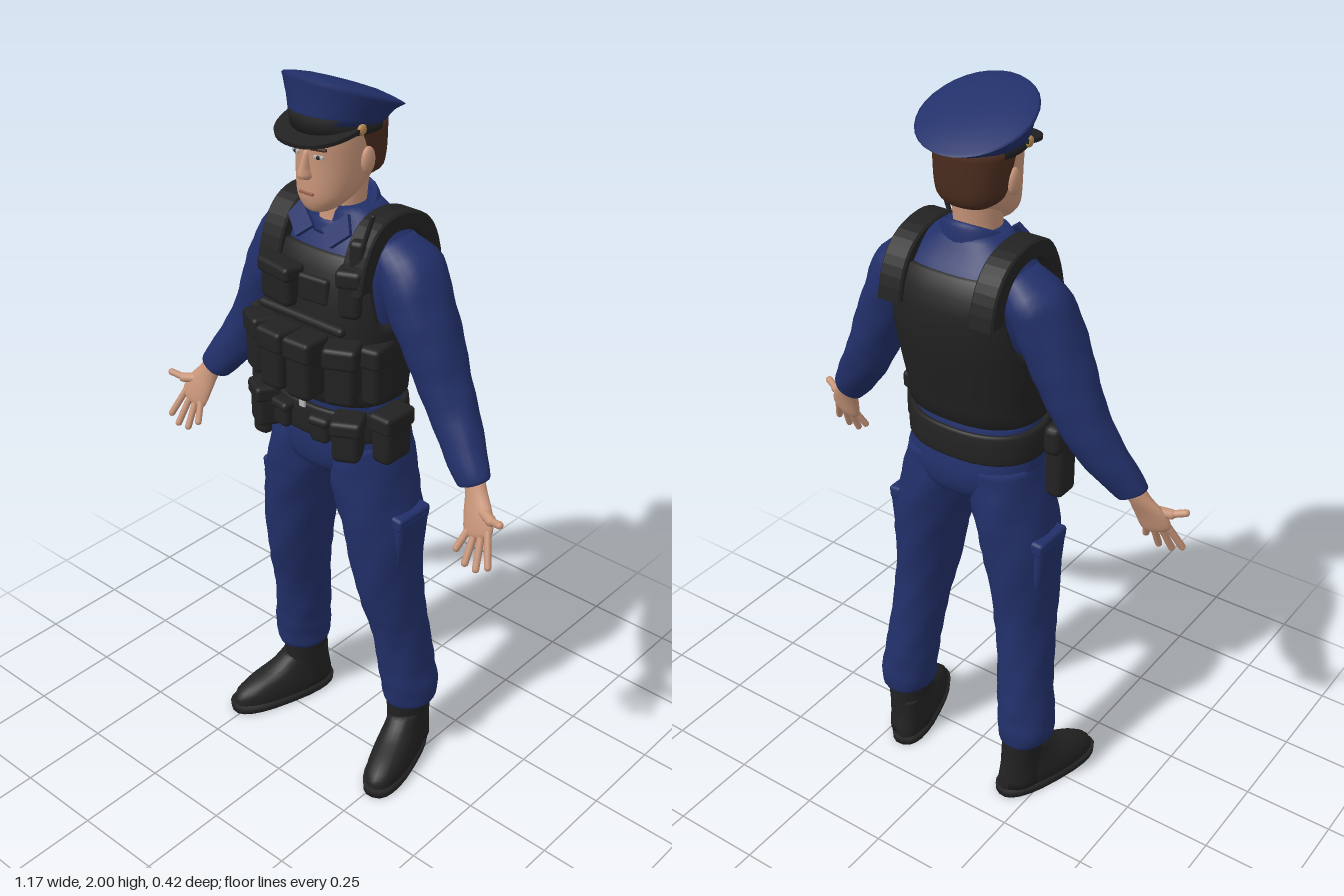
import * as THREE from 'three';
import { RoundedBoxGeometry } from 'three/addons/geometries/RoundedBoxGeometry.js';

const mat = (name, color, side = THREE.FrontSide) => new THREE.MeshStandardMaterial({ name, color, side });
const blue = mat('uniform blue', 0x22306a, THREE.DoubleSide);
const black = mat('gear black', 0x222222, THREE.DoubleSide);
const skin = mat('skin', 0xc9967a);
const hairBrown = mat('hair brown', 0x4a2c1e);
const brass = mat('brass', 0xb88a50);
const silver = mat('silver', 0xb4b4b4);
const lip = mat('lip', 0x9a5f4c);

// Smooth skin over bottom-to-top rings [x, y, z, rx, rz, slopeX, slopeZ]
function loft(rings, { n = 24, sub = 3, pow = 2, wrinkle = 0 } = {}) {
  const pos = [], idx = [], rows = [];
  const get = (i, k) => rings[Math.min(Math.max(i, 0), rings.length - 1)][k] ?? 0;
  for (let i = 0; i < rings.length - 1; i++) {
    for (let s = 0; s < sub; s++) {
      rows.push([0, 1, 2, 3, 4, 5, 6].map(k => {
        const [a, b, c, d] = [get(i - 1, k), get(i, k), get(i + 1, k), get(i + 2, k)], t = s / sub;
        return b + 0.5 * t * (c - a + t * (2 * a - 5 * b + 4 * c - d + t * (3 * (b - c) + d - a)));
      }));
    }
  }
  rows.push([0, 1, 2, 3, 4, 5, 6].map(k => get(rings.length - 1, k)));
  const round = v => Math.sign(v) * Math.abs(v) ** (2 / pow);
  for (const [x, y, z, rx, rz, sx, sz] of rows) {
    for (let j = 0; j < n; j++) {
      const a = j / n * Math.PI * 2;
      const w = 1 + wrinkle * Math.sin(2 * a + 55 * y) * Math.cos(3 * a - 23 * y);
      const dx = rx * w * round(Math.cos(a)), dz = rz * w * round(Math.sin(a));
      pos.push(x + dx, y + sx * dx + sz * dz, z + dz);
    }
  }
  for (let i = 0; i < rows.length - 1; i++) for (let j = 0; j < n; j++) {
    const a = i * n + j, b = i * n + (j + 1) % n;
    idx.push(a, a + n, b, b, a + n, b + n);
  }
  const c = rows.length * n, top = c - n;
  pos.push(...rows[0].slice(0, 3), ...rows[rows.length - 1].slice(0, 3));
  for (let j = 0; j < n; j++) {
    const k = (j + 1) % n;
    idx.push(c, j, k, c + 1, top + k, top + j);
  }
  return build(pos, idx);
}

function build(pos, idx) {
  const g = new THREE.BufferGeometry();
  g.setAttribute('position', new THREE.Float32BufferAttribute(pos, 3));
  g.setIndex(idx);
  g.computeVertexNormals();
  return g;
}

// Torso profile: [y, z, rx, rz]
const TORSO = [[1.1, -0.015, 0.165, 0.12], [1.2, -0.01, 0.17, 0.125], [1.3, -0.02, 0.18, 0.14], [1.4, -0.033, 0.187, 0.15],
  [1.5, -0.045, 0.19, 0.145], [1.57, -0.05, 0.19, 0.12], [1.62, -0.045, 0.15, 0.09], [1.67, -0.035, 0.085, 0.07]];
function torsoAt(y) {
  let i = 0;
  while (i < TORSO.length - 2 && y > TORSO[i + 1][0]) i++;
  const t = (y - TORSO[i][0]) / (TORSO[i + 1][0] - TORSO[i][0]);
  return [1, 2, 3].map(k => THREE.MathUtils.lerp(TORSO[i][k], TORSO[i + 1][k], t));
}

// Vest shell: follows the torso, with the top edge cut down for the arms
function vestShell() {
  const n = 60, m = 12, pos = [], idx = [];
  const round = v => Math.sign(v) * Math.abs(v) ** (2 / 2.4);
  for (let i = 0; i <= m; i++) for (let j = 0; j < n; j++) {
    const a = j / n * Math.PI * 2, c = Math.cos(a), s = Math.sin(a);
    const hole = THREE.MathUtils.smoothstep(Math.abs(c), 0.68, 0.93);
    const high = THREE.MathUtils.lerp(s > 0 ? 1.565 : 1.59, 1.4, hole);
    const t = THREE.MathUtils.clamp((i - 1) / (m - 2), 0, 1);
    const y = THREE.MathUtils.lerp(1.18, high, t);
    const [z, rx, rz] = torsoAt(y), o = i === 0 || i === m ? -0.003 : 0.016;
    pos.push((rx + o) * round(c), y, z + (rz + o) * round(s));
  }
  for (let i = 0; i < m; i++) for (let j = 0; j < n; j++) {
    const a = i * n + j, b = i * n + (j + 1) % n;
    idx.push(a, a + n, b, b, a + n, b + n);
  }
  return build(pos, idx);
}

export function createModel() {
  const model = new THREE.Group();
  model.name = 'officer';
  const add = (name, geo, m, parent = model) => {
    const mesh = new THREE.Mesh(geo, m);
    mesh.name = name;
    parent.add(mesh);
    return mesh;
  };
  const ball = (name, m, x, y, z, rx, ry, rz) => {
    const b = add(name, new THREE.SphereGeometry(1, 16, 12), m);
    b.position.set(x, y, z);
    b.scale.set(rx, ry, rz);
    return b;
  };
  const box = (name, m, x, y, z, w, h, d, ry = 0, r = 0.012) => {
    const b = add(name, new RoundedBoxGeometry(w, h, d, 2, Math.min(r, w / 2.1, d / 2.1, h / 2.1)), m);
    b.position.set(x, y, z);
    b.rotation.y = ry;
    return b;
  };
  const rod = (name, m, p, q, r) => {
    const a = new THREE.Vector3(...p), b = new THREE.Vector3(...q), d = b.clone().sub(a);
    const c = add(name, new THREE.CapsuleGeometry(r, d.length(), 4, 10), m);
    c.position.copy(a).add(b).multiplyScalar(0.5);
    c.quaternion.setFromUnitVectors(new THREE.Vector3(0, 1, 0), d.normalize());
  };
  const pouch = (name, x, y, z, w, h, d, ry = 0) => {
    box(name, black, x, y, z, w, h, d, ry, 0.018);
    box(name + 'Flap', black, x, y + h * 0.32, z, w + 0.008, h * 0.36, d + 0.01, ry);
  };

  // Shirt, trousers seat, vest and belt
  add('shirt', loft(TORSO.map(([y, z, rx, rz]) => [0, y, z, rx, rz]), { n: 36, pow: 2.4 }), blue);
  add('seat', loft([[0, 0.925, -0.025, 0.05, 0.07], [0, 0.96, -0.022, 0.14, 0.12], [0, 1.02, -0.022, 0.187, 0.137],
    [0, 1.1, -0.018, 0.178, 0.13], [0, 1.18, -0.012, 0.17, 0.122]], { n: 32, pow: 2.3 }), blue);
  add('vest', vestShell(), black);
  add('belt', loft([[0, 1.075, -0.012, 0.18, 0.133], [0, 1.08, -0.012, 0.193, 0.143], [0, 1.15, -0.012, 0.19, 0.14],
    [0, 1.155, -0.012, 0.175, 0.13]], { n: 36, pow: 2.3 }), black);
  box('buckle', silver, 0, 1.165, 0.131, 0.02, 0.035, 0.009, 0, 0.003);

  // Vest straps, arched over the shoulders
  const arch = new THREE.Shape();
  arch.moveTo(0.105, 1.5);
  arch.bezierCurveTo(0.08, 1.62, 0.04, 1.665, -0.04, 1.662);
  arch.bezierCurveTo(-0.14, 1.655, -0.185, 1.6, -0.2, 1.5);
  arch.lineTo(-0.16, 1.5);
  arch.bezierCurveTo(-0.15, 1.57, -0.12, 1.62, -0.04, 1.625);
  arch.bezierCurveTo(0.02, 1.625, 0.05, 1.58, 0.07, 1.5);
  for (const s of [-1, 1]) {
    const strap = new THREE.ExtrudeGeometry(arch, { depth: 0.06, bevelSize: 0.005, bevelThickness: 0.005, bevelSegments: 1, curveSegments: 10 });
    add('vestStrap', strap.rotateY(-Math.PI / 2).translate(0.03 + s * 0.135, 0, 0), black);
  }

  // Pouches on vest and belt
  for (const s of [-1, 1]) {
    pouch('magazinePouch', s * 0.044, 1.295, 0.165, 0.076, 0.165, 0.08, s * 0.05);
    pouch('sidePouch', s * 0.132, 1.292, 0.125, 0.08, 0.16, 0.085, s * 0.45);
    pouch('flankPouch', s * 0.178, 1.28, 0.05, 0.05, 0.16, 0.09, s * 0.2);
    pouch('beltPouch', s * 0.14, 1.105, 0.115, 0.075, 0.12, 0.075, s * 0.5);
    pouch('smallBeltPouch', s * 0.065, 1.11, 0.135, 0.055, 0.075, 0.03, s * 0.15);
  }
  pouch('chestPouch', -0.073, 1.475, 0.125, 0.11, 0.11, 0.055, -0.15);
  box('chestPanel', black, 0.03, 1.48, 0.117, 0.09, 0.07, 0.02, 0.1);
  box('lowerChestPanel', black, 0, 1.4, 0.13, 0.28, 0.025, 0.025);
  pouch('radioPouch', 0.125, 1.49, 0.09, 0.06, 0.13, 0.05, 0.4);
  box('radio', black, 0.135, 1.58, 0.075, 0.04, 0.09, 0.035, 0.3);
  rod('antenna', black, [0.145, 1.61, 0.07], [0.17, 1.69, 0.065], 0.006);
  pouch('hipPouch', 0.215, 1.11, 0.035, 0.06, 0.14, 0.1);
  box('holster', black, -0.222, 1.045, 0.03, 0.055, 0.19, 0.08, 0, 0.02);
  box('holsterGrip', black, -0.225, 1.13, 0.02, 0.05, 0.085, 0.1, 0, 0.02);

  for (const s of [-1, 1]) {
    // Trouser leg with thigh pocket
    add('trouserLeg', loft([[0.205, 0.185, -0.083, 0.062, 0.072], [0.206, 0.2, -0.083, 0.073, 0.082], [0.205, 0.25, -0.08, 0.077, 0.087],
      [0.196, 0.32, -0.072, 0.074, 0.088], [0.183, 0.45, -0.055, 0.074, 0.09], [0.165, 0.6, -0.03, 0.08, 0.106],
      [0.145, 0.78, -0.025, 0.097, 0.123], [0.113, 0.93, -0.022, 0.1, 0.133], [0.1, 1.05, -0.02, 0.085, 0.125]]
      .map(([x, ...r]) => [s * x, ...r]), { sub: 5, wrinkle: 0.03 }), blue);
    box('thighPocket', blue, s * 0.227, 0.77, -0.03, 0.035, 0.15, 0.12, 0, 0.015).rotation.z = s * -0.1;
    box('pocketFlap', blue, s * 0.229, 0.835, -0.03, 0.04, 0.04, 0.125, 0, 0.01).rotation.z = s * -0.1;

    // Boot, toe turned out
    add('bootShaft', loft([[s * 0.2, 0.03, -0.085, 0.055, 0.075], [s * 0.2, 0.12, -0.085, 0.052, 0.072],
      [s * 0.202, 0.21, -0.083, 0.06, 0.075]]), black);
    const foot = new THREE.Group();
    foot.name = 'boot';
    foot.position.set(s * 0.2, 0, -0.085);
    foot.rotation.y = s * 0.3;
    model.add(foot);
    add('bootFoot', loft([[0, 0.02, 0.083, 0.057, 0.165], [0, 0.05, 0.08, 0.058, 0.16], [0, 0.08, 0.06, 0.053, 0.135],
      [0, 0.11, 0.025, 0.048, 0.095], [0, 0.15, 0, 0.045, 0.068]], { pow: 2.3 }), black, foot);
    add('sole', loft([[0, 0, 0.085, 0.06, 0.17], [0, 0.025, 0.085, 0.062, 0.172]], { sub: 1, pow: 2.5 }), black, foot);

    // Sleeve
    add('sleeve', loft([[0.452, 1.05, 0, 0.036, 0.033], [0.447, 1.06, 0, 0.043, 0.038], [0.41, 1.11, -0.015, 0.05, 0.05],
      [0.362, 1.18, -0.033, 0.056, 0.06], [0.317, 1.26, -0.043, 0.06, 0.07], [0.277, 1.35, -0.043, 0.066, 0.082],
      [0.235, 1.44, -0.045, 0.07, 0.09], [0.19, 1.53, -0.052, 0.068, 0.09], [0.13, 1.585, -0.05, 0.045, 0.065]]
      .map(([x, ...r]) => [s * x, ...r, s * 0.5]), { sub: 4, wrinkle: 0.03 }), blue);

    // Open hand, palm forward and thumb out
    add('palm', loft([[0.503, 0.935, 0.045, 0.03, 0.011], [0.502, 0.95, 0.042, 0.043, 0.016], [0.49, 0.99, 0.03, 0.042, 0.019],
      [0.468, 1.035, 0.012, 0.03, 0.022], [0.45, 1.07, 0.002, 0.028, 0.024]]
      .map(([x, ...r]) => [s * x, ...r, s * 0.3]), { n: 16 }), skin);
    const fingers = [['indexFinger', 0.533, 0.96, 0.562, 0.888, 0.078], ['middleFinger', 0.514, 0.95, 0.53, 0.87, 0.083],
      ['ringFinger', 0.494, 0.943, 0.494, 0.87, 0.08], ['littleFinger', 0.475, 0.945, 0.46, 0.895, 0.072]];
    for (const [name, x, y, tx, ty, tz] of fingers) rod(name, skin, [s * x, y, 0.045], [s * tx, ty, tz], 0.0095);
    rod('thumbBase', skin, [s * 0.49, 1.005, 0.025], [s * 0.54, 0.998, 0.045], 0.014);
    rod('thumb', skin, [s * 0.54, 0.998, 0.045], [s * 0.575, 1.008, 0.058], 0.01);

    // Ears, eyes and brows
    ball('ear', skin, s * 0.093, 1.79, -0.005, 0.012, 0.034, 0.022);
    box('eyeWhite', silver, s * 0.036, 1.812, 0.104, 0.026, 0.009, 0.008, s * 0.3, 0.003);
    box('pupil', black, s * 0.036, 1.812, 0.106, 0.009, 0.009, 0.008, s * 0.3, 0.003);
    box('brow', hairBrown, s * 0.037, 1.832, 0.106, 0.042, 0.008, 0.009, s * 0.3, 0.003);

    // Collar flap
    const flap = new THREE.Shape([[0.015, 1.612], [0.055, 1.575], [0.1, 1.62], [0.075, 1.665]].map(([x, y]) => new THREE.Vector2(s * x, y)));
    add('collarFlap', new THREE.ExtrudeGeometry(flap, { depth: 0.012, bevelEnabled: false })
      .translate(0, -1.62, 0).rotateX(-0.5).translate(0, 1.62, 0.058), blue);
    ball('capButton', brass, s * 0.108, 1.878, 0.035, 0.008, 0.014, 0.014);
  }

  // Collar, neck and head
  add('collar', loft([[0, 1.615, -0.03, 0.105, 0.088, 0, -0.2], [0, 1.655, -0.03, 0.088, 0.08, 0, -0.4],
    [0, 1.665, -0.028, 0.076, 0.07, 0, -0.5], [0, 1.64, -0.028, 0.06, 0.058, 0, -0.5]], { n: 28 }), blue);
  add('neck', loft([[0, 1.58, -0.015, 0.062, 0.068], [0, 1.66, -0.018, 0.06, 0.06], [0, 1.76, -0.025, 0.065, 0.065]]), skin);
  add('head', loft([[0, 1.664, 0.063, 0.02, 0.022], [0, 1.672, 0.055, 0.04, 0.042], [0, 1.7, 0.035, 0.066, 0.073],
    [0, 1.74, 0.01, 0.08, 0.1], [0, 1.79, -0.003, 0.087, 0.112], [0, 1.84, -0.003, 0.09, 0.113], [0, 1.89, -0.003, 0.09, 0.11]],
  { n: 32, pow: 2.15 }), skin);
  add('hair', loft([[0, 1.735, -0.055, 0.06, 0.045], [0, 1.755, -0.048, 0.084, 0.066], [0, 1.8, -0.043, 0.094, 0.077],
    [0, 1.88, -0.03, 0.1, 0.092]], { n: 28, pow: 2.3 }), hairBrown);
  add('nose', loft([[0, 1.752, 0.105, 0.01, 0.012], [0, 1.762, 0.11, 0.018, 0.025], [0, 1.785, 0.108, 0.011, 0.021],
    [0, 1.825, 0.1, 0.008, 0.012]], { n: 12 }), skin);
  box('mouth', lip, 0, 1.717, 0.108, 0.044, 0.008, 0.008, 0, 0.003);

  // Peaked cap: band, flared crown high at the front, visor
  add('capBand', loft([[0, 1.86, 0, 0.107, 0.118, 0, 0.05], [0, 1.895, 0, 0.112, 0.121, 0, 0.12]], { n: 32, sub: 1 }), black);
  add('capCrown', loft([[0, 1.882, -0.003, 0.113, 0.122, 0, 0.1], [0, 1.912, -0.012, 0.128, 0.128, 0, 0.22],
    [0, 1.934, -0.022, 0.145, 0.139, 0, 0.36], [0, 1.944, -0.022, 0.142, 0.136, 0, 0.41],
    [0, 1.957, -0.022, 0.08, 0.08, 0, 0.4], [0, 1.96, -0.022, 0.01, 0.01, 0, 0.4]], { n: 32, sub: 2 }), blue);
  const peak = new THREE.Shape();
  peak.absellipse(0, 0, 0.113, 0.115, 0, Math.PI, true);
  peak.absellipse(0, 0, 0.113, 0.165, Math.PI, Math.PI * 2, false);
  const visor = new THREE.Shape();
  visor.moveTo(0.113, 0.02);
  visor.bezierCurveTo(0.115, 0.12, 0.07, 0.168, 0, 0.168);
  visor.bezierCurveTo(-0.07, 0.168, -0.115, 0.12, -0.113, 0.02);
  visor.lineTo(0.113, 0.02);
  add('visor', new THREE.ExtrudeGeometry(visor, { depth: 0.01, bevelEnabled: false, curveSegments: 12 })
    .rotateX(Math.PI / 2 + 0.22).translate(0, 1.892, 0), black);
  return model;
}
